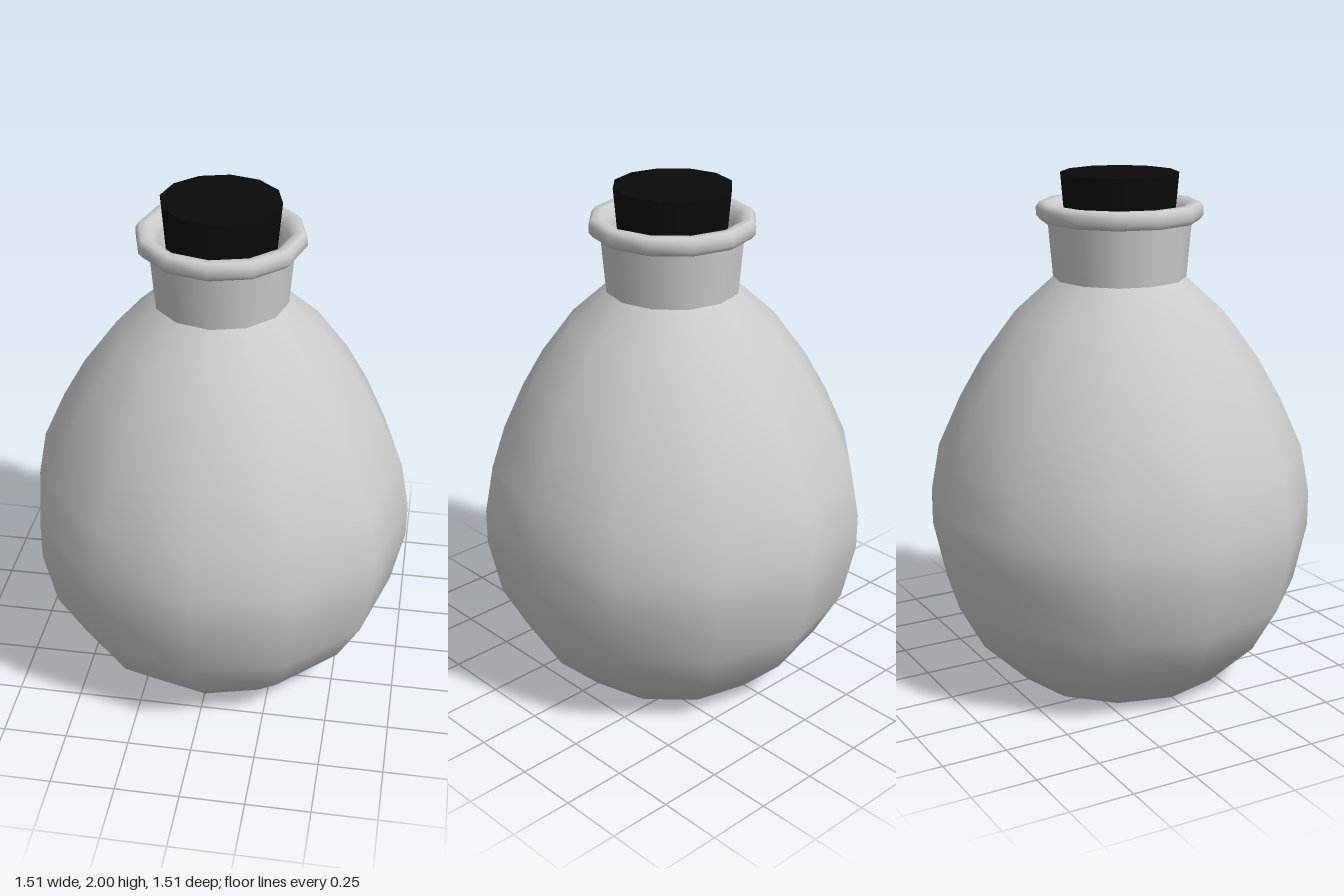
import * as THREE from 'three';

const SIDES = 12;

function lathe(name, profile, material) {
  const points = profile.map(([r, y]) => new THREE.Vector2(r, y));
  const mesh = new THREE.Mesh(new THREE.LatheGeometry(points, SIDES), material);
  mesh.name = name;
  return mesh;
}

export function createModel() {
  const group = new THREE.Group();
  group.name = 'corkedFlask';
  const glass = new THREE.MeshStandardMaterial({ color: 0xcccccc, side: THREE.DoubleSide });
  const cork = new THREE.MeshStandardMaterial({ color: 0x0a0a0a });

  // Round belly with a flat base, running up into the shoulder
  group.add(lathe('body', [
    [0, 0], [0.42, 0], [0.605, 0.18], [0.705, 0.36], [0.755, 0.59], [0.755, 0.73],
    [0.72, 0.92], [0.63, 1.12], [0.54, 1.28], [0.405, 1.465], [0.257, 1.6],
  ], glass));

  // Slightly flared neck
  group.add(lathe('neck', [[0.257, 1.6], [0.277, 1.83]], glass));

  // Rolled lip that slopes in to the stopper
  group.add(lathe('lip', [
    [0.277, 1.82], [0.305, 1.82], [0.32, 1.838], [0.32, 1.868], [0.307, 1.888],
    [0.275, 1.888], [0.25, 1.865], [0.235, 1.835], [0.225, 1.75],
  ], glass));

  // Tapered stopper pushed into the neck
  const stopper = new THREE.Mesh(new THREE.CylinderGeometry(0.226, 0.2, 0.3, SIDES), cork);
  stopper.name = 'stopper';
  stopper.position.y = 1.85;
  group.add(stopper);

  return group;
}
